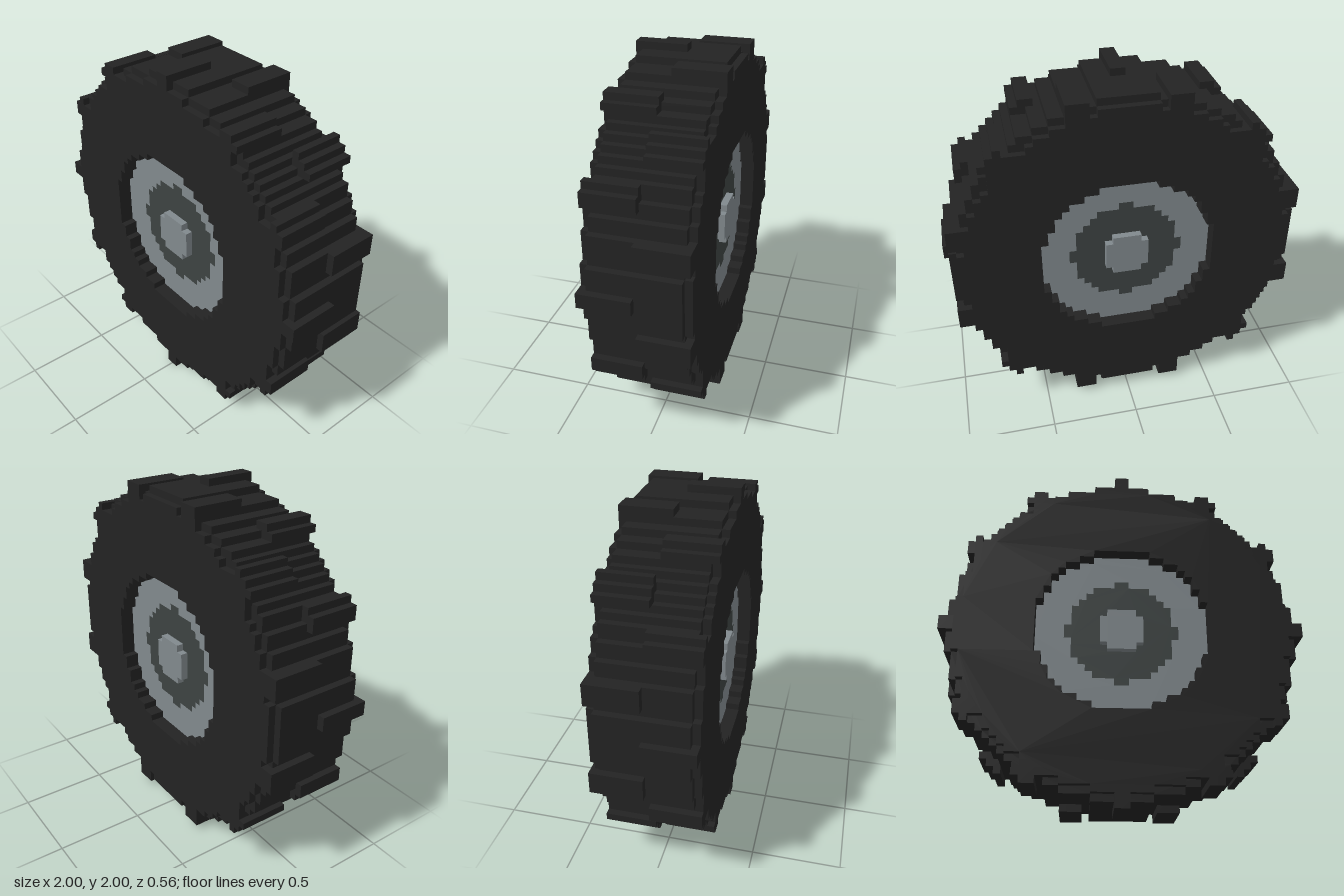
import * as THREE from 'three';
import { mergeGeometries } from 'three/addons/utils/BufferGeometryUtils.js';

const U = 0.04; // size of one block

const mat = (name, color) => {
  const m = new THREE.MeshStandardMaterial({ color });
  m.name = name;
  return m;
};

// Stepped circle outline: blocks whose centre lies within radius r (in blocks)
function blockCircle(r) {
  const right = [];
  const n = Math.floor(r + 0.5);
  for (let j = -n; j < n; j++) {
    const y = j + 0.5;
    const w = Math.floor(Math.sqrt(Math.max(0, r * r - y * y)) + 0.5);
    if (w > 0) right.push([w, j], [w, j + 1]);
  }
  const left = right.map(([x, y]) => [-x, y]).reverse();
  // Drop repeated points where neighbouring rows have the same width
  const pts = [...right, ...left].filter((p, i, a) => {
    const q = a[(i + a.length - 1) % a.length];
    return p[0] !== q[0] || p[1] !== q[1];
  });
  return pts.map(([x, y]) => new THREE.Vector2(x * U, y * U));
}

// Block disc or ring between two depths (in blocks)
function blockDisc(outer, inner, z0, z1) {
  const shape = new THREE.Shape(blockCircle(outer));
  if (inner) shape.holes.push(new THREE.Path(blockCircle(inner)));
  const geo = new THREE.ExtrudeGeometry(shape, { depth: (z1 - z0) * U, bevelEnabled: false });
  return geo.translate(0, 0, z0 * U);
}

// One tread lug: blocks beyond the sidewall lying along a radial line
function lug(angle, z0, z1) {
  const s = Math.sin(angle), c = Math.cos(angle), boxes = [];
  for (let i = -25; i < 25; i++) {
    for (let j = -25; j < 25; j++) {
      const x = i + 0.5, y = j + 0.5, r = Math.hypot(x, y);
      const across = Math.abs(x * c - y * s), along = x * s + y * c;
      if (r > 22.8 && r < 25 && across < 1.46 && along > 0) {
        boxes.push(new THREE.BoxGeometry(U, U, (z1 - z0) * U)
          .translate(x * U, y * U, (z0 + z1) / 2 * U));
      }
    }
  }
  return mergeGeometries(boxes);
}

export function createModel() {
  const rubber = mat('rubber', 0x232323);
  const steel = mat('steel', 0x81898d);
  const darkSteel = mat('dark steel', 0x3d4342);

  const wheel = new THREE.Group();
  wheel.name = 'wheel';
  wheel.position.y = 1;
  const add = (name, geo, material) => {
    const mesh = new THREE.Mesh(geo, material);
    mesh.name = name;
    wheel.add(mesh);
  };

  // Tyre body with a slightly smaller sidewall on each side
  add('tyre', blockDisc(23.8, 12.2, -6, 6), rubber);
  add('frontSidewall', blockDisc(22.8, 12.2, 6, 7), rubber);
  add('backSidewall', blockDisc(22.8, 12.2, -7, -6), rubber);

  // Lugs every 15 degrees, alternating between front and back halves
  for (let k = 0; k < 24; k++) {
    const front = k % 2 === 0;
    add('treadLug', lug(k * Math.PI / 12, front ? 0 : -7, front ? 7 : 0), rubber);
  }

  // Recessed rim, flush dark ring and raised hub, the same on both sides
  add('rim', blockDisc(12.2, 7.55, -5, 5), steel);
  add('innerRing', blockDisc(7.55, 3, -5, 5), darkSteel);
  add('hub', blockDisc(3, 0, -6, 6), steel);

  const model = new THREE.Group();
  model.add(wheel);
  return model;
}
